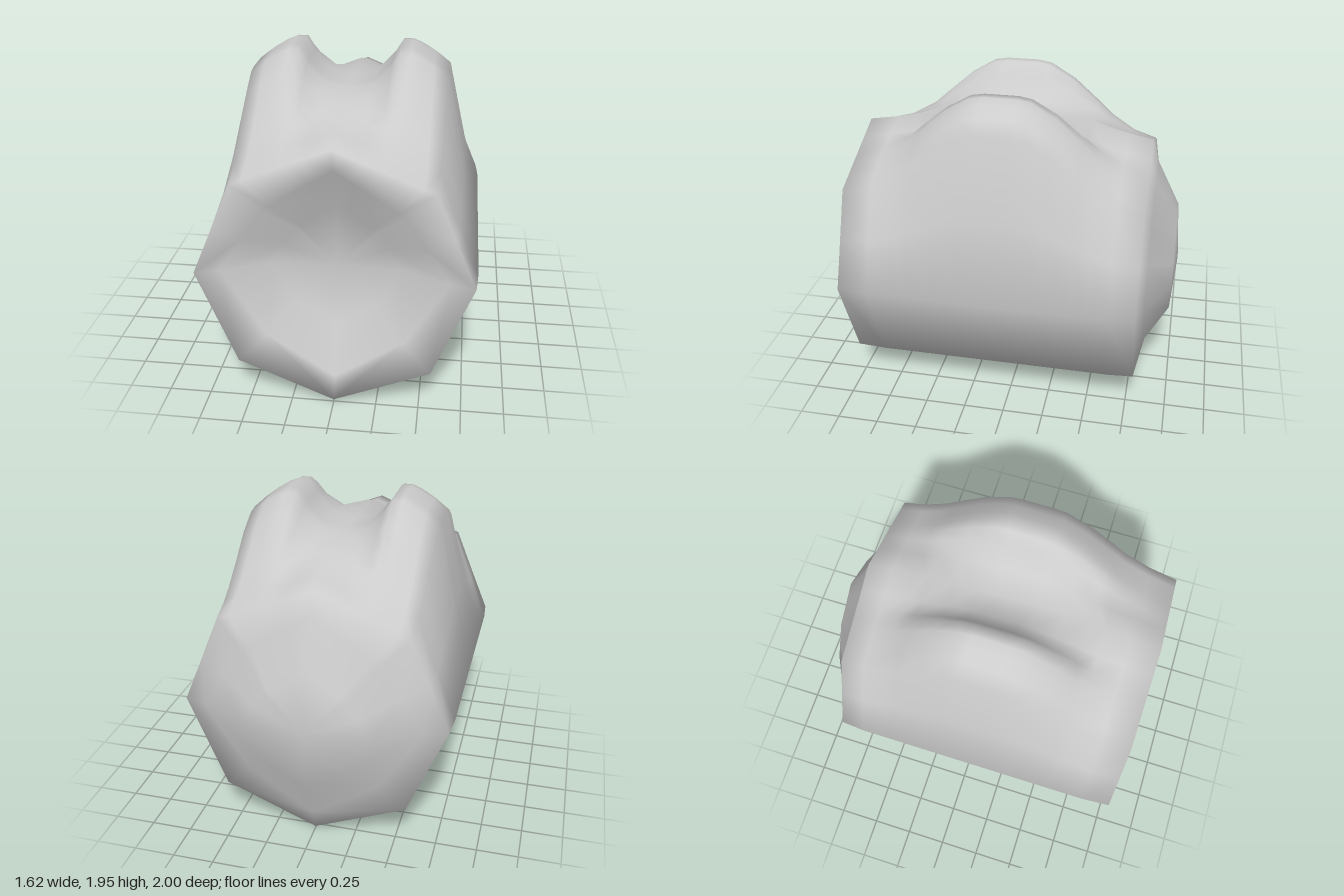
import * as THREE from 'three';

const CY = 0.81; // height of the body axis

// Right half of the cross-section, bottom to top:
// [octagon x, octagon y, humped x, humped y]
const HALF = [
  [0, 0, 0, 0],
  [0.57, 0.24, 0.57, 0.24],
  [0.81, 0.82, 0.81, 0.82],
  [0.69, 1.10, 0.70, 1.31],
  [0.57, 1.385, 0.59, 1.80],
  [0.50, 1.414, 0.50, 1.87],
  [0.42, 1.447, 0.42, 1.92],
  [0.36, 1.472, 0.36, 1.945],
  [0.30, 1.496, 0.30, 1.945],
  [0.25, 1.517, 0.25, 1.86],
  [0.15, 1.558, 0.15, 1.75],
  [0, 1.62, 0, 1.71],
];
const LOOP = [...HALF, ...HALF.slice(1, -1).reverse().map(([a, b, c, d]) => [-a, b, -c, d])];

// Rings from back to front:
// [z, scale on the axes, scale at the diagonal corners, hump amount, centre ridge amount]
const RINGS = [
  // domed back
  [-1.0, 0, 0, 0, 0],
  [-0.973, 0.47, 0.42, 0, 0],
  [-0.832, 0.815, 0.70, 0, 0],
  // body, rising to the two humps and falling again
  [-0.79, 0.985, 0.99, 0, 0],
  [-0.64, 1, 1, 0.1, 0.2],
  [-0.50, 1, 1, 0.3, 0.6],
  [-0.41, 1, 1, 0.48, 1],
  [-0.25, 1, 1, 0.78, 1],
  [-0.10, 1, 1, 0.97, 1],
  [-0.02, 1, 1, 1, 1],
  [0.18, 1, 1, 1, 1],
  [0.26, 1, 1, 0.97, 1],
  [0.41, 1, 1, 0.78, 1],
  [0.57, 1, 1, 0.48, 1],
  [0.66, 1, 1, 0.3, 0.6],
  [0.82, 1, 1, 0.1, 0.2],
  [1.0, 0.985, 0.99, 0, 0],
  // hollow front, matching the dome
  [0.958, 0.815, 0.70, 0, 0],
  [0.817, 0.47, 0.42, 0, 0],
  [0.79, 0, 0, 0, 0],
];

function loft() {
  const points = [], index = [], n = LOOP.length;
  for (const [z, axis, diagonal, hump, ridge] of RINGS) {
    for (const [ox, oy, hx, hy] of LOOP) {
      const t = ox === 0 ? ridge : hump;
      const w = Math.min(Math.abs(ox) / 0.57, (0.81 - Math.abs(ox)) / 0.24); // 1 at a diagonal corner
      const s = axis + (diagonal - axis) * w;
      points.push(new THREE.Vector3((ox + (hx - ox) * t) * s, CY + (oy + (hy - oy) * t - CY) * s, z));
    }
  }
  // Mirrored quads, with normals averaged per quad so the long sides shade evenly
  const normals = points.map(() => new THREE.Vector3());
  for (let i = 0; i < RINGS.length - 1; i++) {
    for (let j = 0; j < n; j++) {
      const k = (j + 1) % n;
      const a = i * n + j, b = i * n + k, c = b + n, d = a + n;
      if (j < n / 2) index.push(a, b, c, a, c, d);
      else index.push(a, b, d, b, c, d);
      const normal = points[c].clone().sub(points[a]).cross(points[d].clone().sub(points[b]));
      for (const v of [a, b, c, d]) normals[v].add(normal);
    }
  }
  // The two poles face straight along the axis
  for (let j = 0; j < n; j++) {
    normals[j].set(0, 0, -1);
    normals[normals.length - 1 - j].set(0, 0, 1);
  }
  const geometry = new THREE.BufferGeometry().setFromPoints(points);
  const normalArray = normals.flatMap((v) => v.normalize().toArray());
  geometry.setAttribute('normal', new THREE.Float32BufferAttribute(normalArray, 3));
  geometry.setIndex(index);
  return geometry;
}

export function createModel() {
  const group = new THREE.Group();
  group.name = 'humpedBarrel';
  const body = new THREE.Mesh(loft(), new THREE.MeshStandardMaterial({ color: 0xcccccc }));
  body.name = 'body';
  group.add(body);
  return group;
}
